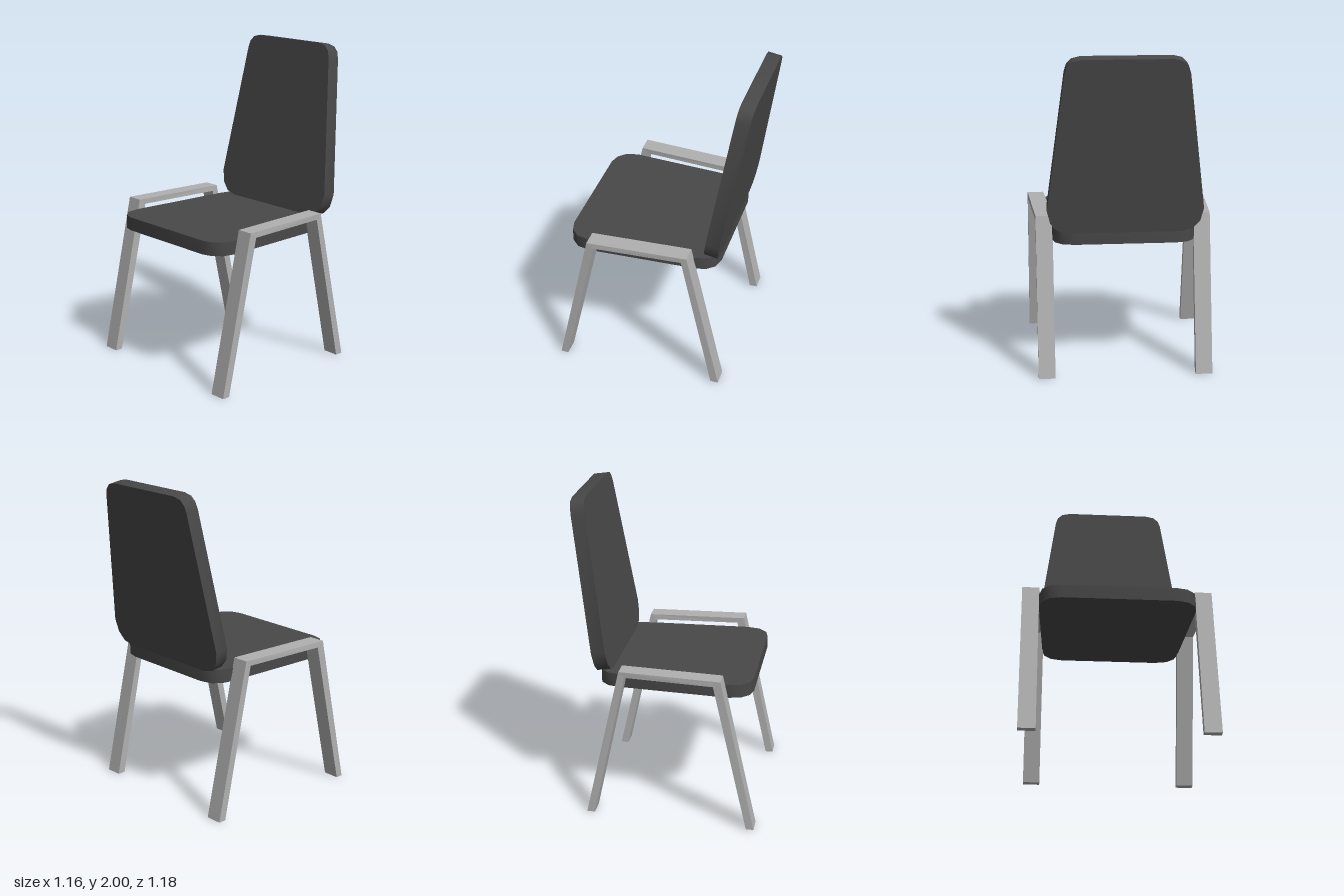
import * as THREE from 'three';
import { toCreasedNormals } from 'three/addons/utils/BufferGeometryUtils.js';

// Closed shape mirrored about x = 0, from the right-hand half listed bottom to top
function mirroredShape(half) {
  const other = half.map(([x, y]) => [-x, y]).reverse();
  return new THREE.Shape([...half, ...other].map(([x, y]) => new THREE.Vector2(x, y)));
}

// Padded slab with smooth rounded corners and sharp rims
function slab(half, depth) {
  const geo = new THREE.ExtrudeGeometry(mirroredShape(half), { depth, bevelEnabled: false });
  geo.translate(0, 0, -depth);
  return toCreasedNormals(geo, 0.9);
}

// Bent side frame: two splayed legs joined by a top rail, nearer the centre at the back
function sideFrame(side) {
  const profile = [
    [0.59, 0], [0.37, 0.985], [-0.26, 0.985], [-0.48, 0],
    [-0.43, 0], [-0.225, 0.95], [0.325, 0.95], [0.542, 0],
  ];
  const shape = new THREE.Shape(profile.map(([z, y]) => new THREE.Vector2(-z, y)));
  const geo = new THREE.ExtrudeGeometry(shape, { depth: 0.105, bevelEnabled: false });
  geo.rotateY(Math.PI / 2);
  const p = geo.attributes.position;
  for (let i = 0; i < p.count; i++) {
    const t = THREE.MathUtils.clamp((p.getZ(i) + 0.24) / 0.58, 0, 1);
    const inner = 0.438 + 0.039 * t;
    const across = p.getX(i) > 0.05 ? 0.104 : 0;
    // keep the winding outward on both sides
    p.setX(i, side > 0 ? inner + across : -(inner + 0.104 - across));
  }
  geo.computeVertexNormals();
  return geo;
}

export function createModel() {
  const group = new THREE.Group();
  const padding = new THREE.MeshStandardMaterial({ color: 0x484848 });
  padding.name = 'darkGrey';
  const metal = new THREE.MeshStandardMaterial({ color: 0xb0b0b0 });
  metal.name = 'lightGrey';

  const add = (name, geo, mat) => {
    const mesh = new THREE.Mesh(geo, mat);
    mesh.name = name;
    group.add(mesh);
    return mesh;
  };

  // Seat, drawn in plan with shape y running towards the back
  const seat = add('seat', slab([
    [0.345, -0.545], [0.412, -0.527], [0.46, -0.478], [0.477, -0.4],
    [0.442, 0.28], [0.428, 0.35], [0.385, 0.4], [0.31, 0.42],
  ], 0.085), padding);
  seat.rotation.x = -Math.PI / 2;
  seat.position.y = 0.925;

  // Tapered backrest, leaning back
  const back = add('backrest', slab([
    [0.34, 0], [0.412, 0.018], [0.457, 0.068], [0.477, 0.15],
    [0.368, 1.0], [0.354, 1.045], [0.324, 1.075], [0.27, 1.088],
  ], 0.087), padding);
  back.rotation.x = -0.152;
  back.position.set(0, 0.925, -0.335);

  // Leg frames on both sides
  add('leftLegFrame', sideFrame(1), metal);
  add('rightLegFrame', sideFrame(-1), metal);

  return group;
}
